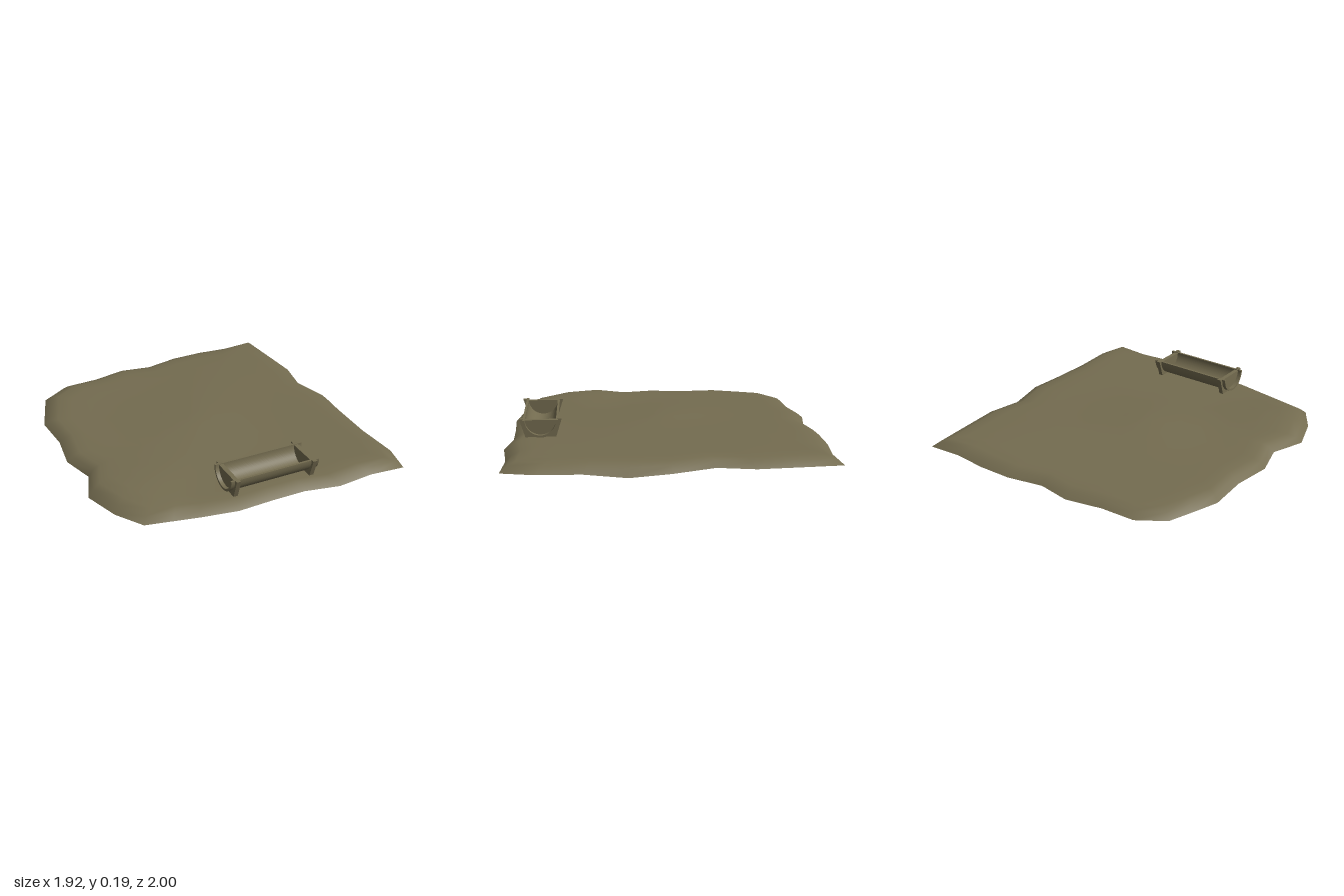
import * as THREE from 'three';
import { mergeVertices } from 'three/addons/utils/BufferGeometryUtils.js';

// Ragged edge of the ground patch as x, z pairs, clockwise from the back corner
const OUTLINE = [
  0.90, -1.0, 0.92, -0.71, 0.935, -0.48, 0.89, -0.25, 0.96, 0.01, 0.955, 0.26, 0.935, 0.52, 0.945, 0.79,
  0.90, 0.99, 0.675, 0.97, 0.435, 0.995, 0.215, 0.95, 0, 0.95, -0.23, 0.96, -0.46, 0.92, -0.62, 0.885,
  -0.78, 0.85, -0.89, 0.68, -0.965, 0.45, -0.885, 0.235, -0.945, 0.02, -0.91, -0.225, -0.925, -0.485, -0.87, -0.645,
  -0.81, -0.81, -0.645, -0.92, -0.425, -0.93, -0.195, -0.98, 0.015, -0.945, 0.245, -0.995, 0.465, -1.0, 0.68, -0.98,
];

// Gentle mounds and hollows: x, z, radius, height
const BUMPS = [
  [-0.68, 0.5, 0.25, 0.022], [-0.1, 0, 0.35, 0.022], [0.4, -0.5, 0.35, 0.010],
  [-0.4, 0.8, 0.25, -0.010], [0.1, 0.8, 0.35, -0.006],
];
const bump = (x, z, [bx, bz, r, h]) => h * Math.exp(-((x - bx) ** 2 + (z - bz) ** 2) / (r * r));
const topHeight = (x, z) => BUMPS.reduce((y, b) => y + bump(x, z, b), 0.078);
const rimHeight = (x, z) => 0.028 + bump(x, z, [0.955, 0.26, 0.22, -0.028]);

// Open shell: rings of the outline shrinking to the middle, with a steep rim
function groundGeometry() {
  const rings = [[1, 0], [0.96, 0.62], [0.91, 0.92], [0.83, 1], [0.7, 1], [0.55, 1], [0.4, 1], [0.25, 1], [0.1, 1], [0, 1]];
  const n = OUTLINE.length / 2;
  const positions = [], index = [];
  rings.forEach(([scale, rise], r) => {
    for (let j = 0; j < n; j++) {
      const x = OUTLINE[2 * j] * scale, z = OUTLINE[2 * j + 1] * scale;
      positions.push(x, THREE.MathUtils.lerp(rimHeight(x, z), topHeight(x, z), rise), z);
      if (r === rings.length - 1) continue;
      const a = r * n + j, b = r * n + (j + 1) % n;
      index.push(a, a + n, b);
      if (r < rings.length - 2) index.push(b, a + n, b + n);
    }
  });
  const geometry = new THREE.BufferGeometry();
  geometry.setAttribute('position', new THREE.Float32BufferAttribute(positions, 3));
  geometry.setIndex(index);
  const merged = mergeVertices(geometry);
  merged.computeVertexNormals();
  return merged;
}

// Cross-section in z, y stretched along x
const alongX = (shape, length) =>
  new THREE.ExtrudeGeometry(shape, { depth: length, bevelEnabled: false, curveSegments: 20 }).rotateY(Math.PI / 2);

export function createModel() {
  const earth = new THREE.MeshStandardMaterial({ color: 0x746c50, side: THREE.DoubleSide });
  earth.name = 'olive earth';
  const model = new THREE.Group();
  model.name = 'groundWithTrough';
  const add = (name, geometry, parent) => {
    const mesh = new THREE.Mesh(geometry, earth);
    mesh.name = name;
    parent.add(mesh);
    return mesh;
  };

  add('ground', groundGeometry(), model);

  const trough = new THREE.Group();
  trough.name = 'trough';
  trough.position.set(0.05, 0, 0.775);
  model.add(trough);

  // Half-round basin wall
  const wall = new THREE.Shape();
  wall.absarc(0, 0.185, 0.11, Math.PI, 2 * Math.PI, false);
  wall.lineTo(0.096, 0.185);
  wall.absarc(0, 0.185, 0.096, 2 * Math.PI, Math.PI, true);
  wall.closePath();
  add('basin', alongX(wall, 0.59), trough).position.x = -0.295;

  // Tapered end plates that close the basin and carry it, with raised horns
  const plate = new THREE.Shape([
    [-0.093, 0.066], [0.093, 0.066], [0.132, 0.188], [0.108, 0.188],
    [0.106, 0.181], [-0.106, 0.181], [-0.108, 0.188], [-0.132, 0.188],
  ].map(([x, y]) => new THREE.Vector2(x, y)));
  for (const [name, x] of [['rightStand', -0.257], ['leftStand', 0.257]]) {
    add(name, alongX(plate, 0.028), trough).position.x = x - 0.014;
  }
  return model;
}
